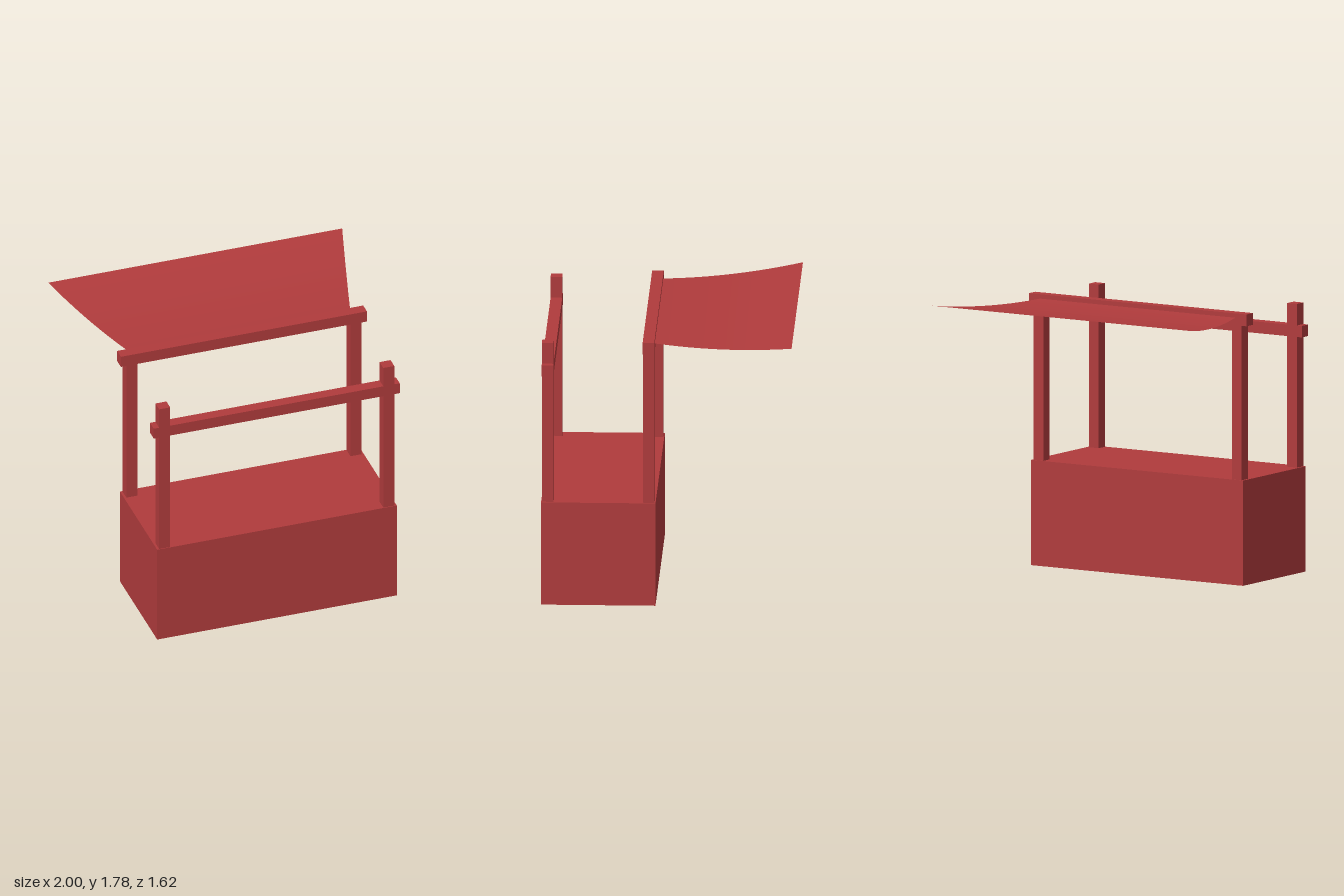
import * as THREE from 'three';

export function createModel() {
  const group = new THREE.Group();
  group.name = 'marketStall';

  const red = new THREE.MeshStandardMaterial({ color: 0xb03b3c });
  red.name = 'red';
  const redCloth = red.clone();
  redCloth.name = 'redCloth';
  redCloth.side = THREE.DoubleSide;

  // Box given by its minimum and maximum corners
  function box(name, [x0, y0, z0], [x1, y1, z1]) {
    const mesh = new THREE.Mesh(new THREE.BoxGeometry(x1 - x0, y1 - y0, z1 - z0), red);
    mesh.position.set((x0 + x1) / 2, (y0 + y1) / 2, (z0 + z1) / 2);
    mesh.name = name;
    group.add(mesh);
  }

  // Counter
  box('counter', [-0.815, 0, 0.073], [0.815, 0.685, 0.81]);

  // Posts at the four corners
  for (const [side, x] of [['left', 0.725], ['right', -0.8]]) {
    box(side + 'FrontPost', [x, 0.685, 0.73], [x + 0.075, 1.75, 0.805]);
    box(side + 'BackPost', [x, 0.685, 0.08], [x + 0.075, 1.69, 0.155]);
  }

  // Cross beams
  box('frontBeam', [-0.837, 1.535, 0.73], [0.837, 1.61, 0.805]);
  box('backBeam', [-0.837, 1.69, 0.08], [0.837, 1.767, 0.155]);

  // Cloth canopy: flares towards the back and sags along its depth
  const cloth = new THREE.PlaneGeometry(2, 1, 1, 16);
  const p = cloth.attributes.position;
  for (let i = 0; i < p.count; i++) {
    const t = p.getY(i) + 0.5; // 0 at the beam, 1 at the back edge
    p.setXYZ(
      i,
      Math.sign(p.getX(i)) * (0.75 + 0.25 * t),
      1.733 + 0.092 * (t - 0.25) ** 2,
      0.08 - 0.89 * t
    );
  }
  cloth.computeVertexNormals();
  const canopy = new THREE.Mesh(cloth, redCloth);
  canopy.name = 'canopy';
  group.add(canopy);

  return group;
}
